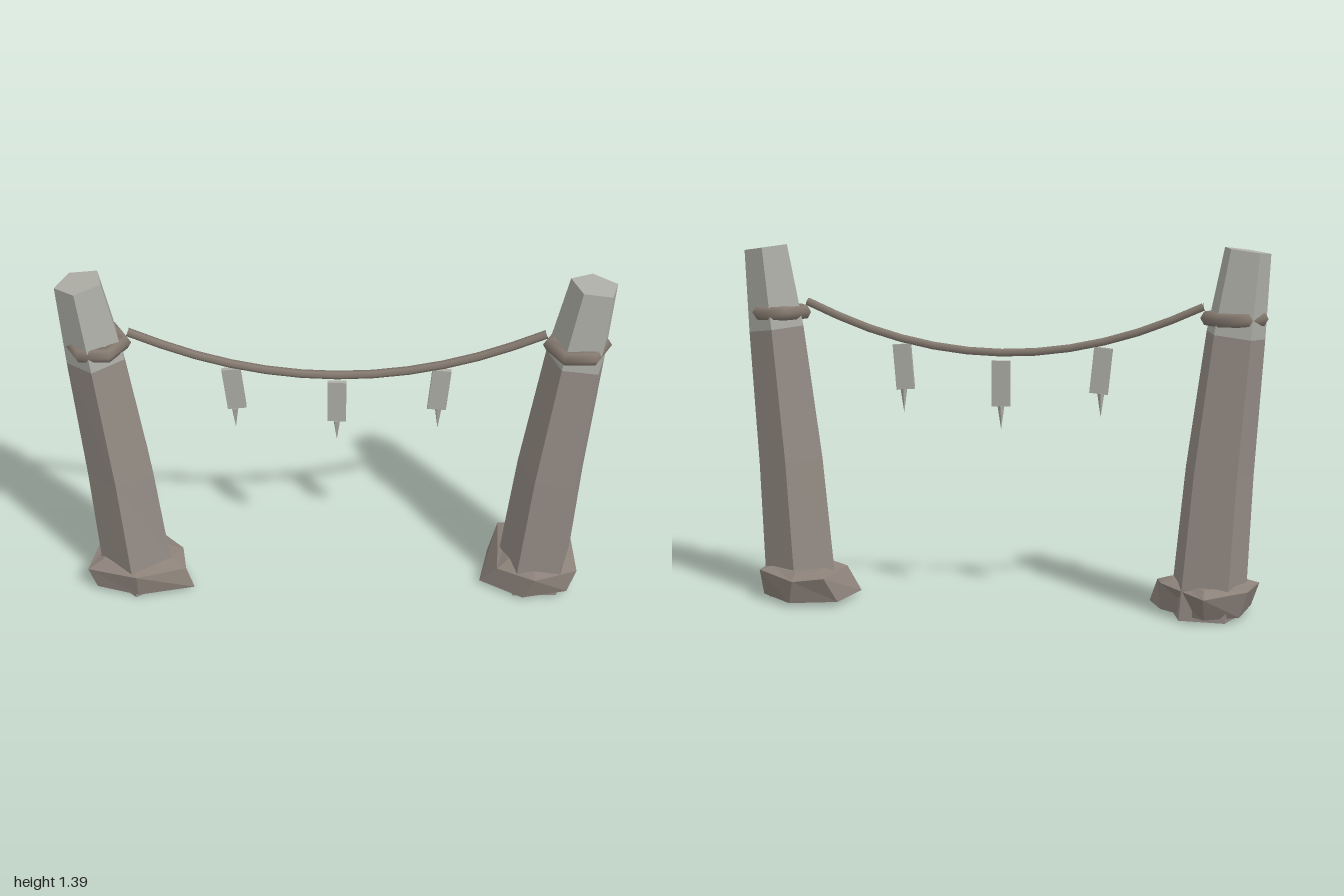
import * as THREE from 'three';

const mat = (name, color, flatShading) => {
  const m = new THREE.MeshStandardMaterial({ color, flatShading });
  m.name = name;
  return m;
};

// Closed solid through a stack of rings, bottom to top (points run from +x towards +z)
function loft(rings) {
  const out = [];
  const tri = (...pts) => pts.forEach((p) => out.push(...p));
  const n = rings[0].length;
  for (let k = 0; k < rings.length - 1; k++) {
    const lo = rings[k], hi = rings[k + 1];
    for (let i = 0; i < n; i++) {
      const j = (i + 1) % n;
      tri(lo[i], hi[i], hi[j]);
      tri(lo[i], hi[j], lo[j]);
    }
  }
  const bottom = rings[0], top = rings[rings.length - 1];
  for (let i = 1; i < n - 1; i++) {
    tri(bottom[0], bottom[i], bottom[i + 1]);
    tri(top[0], top[i + 1], top[i]);
  }
  const g = new THREE.BufferGeometry();
  g.setAttribute('position', new THREE.Float32BufferAttribute(out, 3));
  g.computeVertexNormals();
  return g;
}

const Z = 0.02; // depth of the gate's centre line

// Five-sided section of a leaning post; the cut follows the lean
function section(side, turn, [cx, y, r, tilt]) {
  return Array.from({ length: 5 }, (_, i) => {
    const a = THREE.MathUtils.degToRad(turn + i * 72);
    const dx = r * Math.cos(a);
    return [side * cx + dx, y - side * dx * tilt, Z + r * Math.sin(a) * (Math.sin(a) < -0.9 ? 0.88 : 1)];
  });
}

// Rough foot stone from a lower and an upper outline of [x, z]
function stone(low, high, cx) {
  const ring = (pts, y, s, wobble = 0) => pts
    .map(([x, z], i) => [cx + (x - cx) * s, y + (i % 2 ? wobble : -wobble), z * s])
    .reverse();
  return loft([ring(low, 0.004, 0.6), ring(low, 0.016, 1), ring(high, 0.112, 1, 0.006), ring(high, 0.13, 0.7)]);
}

export function createModel() {
  const group = new THREE.Group();
  group.name = 'ropeGate';
  const postMat = mat('brownStone', 0x958c85, true);
  const capMat = mat('paleStone', 0xaeaea7, true);
  const rockMat = mat('darkStone', 0x8c827a, true);
  const ropeMat = mat('rope', 0x857a70, false);
  const add = (name, geo, material, parent = group) => {
    const m = new THREE.Mesh(geo, material);
    m.name = name;
    parent.add(m);
    return m;
  };

  // Posts: [centre x, y, radius, cut slope]
  const shaft = [[0.79, 0, 0.147, 0], [0.8, 0.12, 0.147, 0.05], [0.828, 0.55, 0.134, 0.1], [0.877, 1.065, 0.114, 0.13]];
  const cap = [[0.877, 1.065, 0.114, 0.13], [0.915, 1.378, 0.089, 0.14]];
  const feet = {
    left: [
      [[0.575, 0.07], [0.74, 0.17], [0.92, 0.13], [0.94, -0.05], [0.8, -0.17], [0.62, -0.12]],
      [[0.64, 0.1], [0.78, 0.185], [0.955, 0.11], [0.95, -0.07], [0.78, -0.19], [0.66, -0.17]],
    ],
    right: [
      [[-0.96, 0.12], [-0.79, 0.17], [-0.57, 0.12], [-0.62, 0], [-0.79, -0.13], [-0.92, -0.07]],
      [[-0.99, 0.12], [-0.79, 0.185], [-0.6, 0.11], [-0.62, 0], [-0.79, -0.18], [-0.95, -0.08]],
    ],
  };
  for (const [name, side, turn] of [['left', 1, 53], ['right', -1, 94]]) {
    const post = new THREE.Group();
    post.name = name + 'Post';
    group.add(post);
    add(name + 'Shaft', loft(shaft.map((s) => section(side, turn, s))), postMat, post);
    add(name + 'Cap', loft(cap.map((s) => section(side, turn, s))), capMat, post);
    add(name + 'FootStone', stone(...feet[name], side * 0.79), rockMat, post);
    // Rope wound around the post
    const ring = add(name + 'RopeRing', new THREE.TorusGeometry(0.096, 0.029, 6, 6), ropeMat, post);
    ring.rotation.x = Math.PI / 2;
    ring.position.set(side * 0.873, 1.128, Z + 0.005);
  }

  // Sagging rope between the posts
  const sag = (x) => 0.985 + 0.185 * (x / 0.76) ** 2;
  const points = Array.from({ length: 9 }, (_, i) => {
    const x = -0.76 + i * 0.19;
    return new THREE.Vector3(x, sag(x), Z);
  });
  add('hangingRope', new THREE.TubeGeometry(new THREE.CatmullRomCurve3(points), 12, 0.016, 6), ropeMat);
  for (const s of [-1, 1]) {
    const end = add('ropeEnd', new THREE.CircleGeometry(0.016, 6), ropeMat);
    end.position.set(s * 0.76, sag(0.76), Z);
    end.rotation.y = s * Math.PI / 2;
  }

  // Hanging tags with pointed tips
  for (const [x, y, lean] of [[-0.382, 0.924, 0.1], [0, 0.867, 0], [0.38, 0.924, -0.08]]) {
    const tag = add('tag', new THREE.BoxGeometry(0.07, 0.175, 0.018), capMat);
    tag.position.set(x, y, Z);
    tag.rotation.z = lean;
    const tip = add('tagTip', new THREE.ConeGeometry(0.014, 0.092, 5), capMat);
    tip.rotation.x = Math.PI;
    tip.position.set(x, y - 0.132, Z);
  }
  return group;
}
